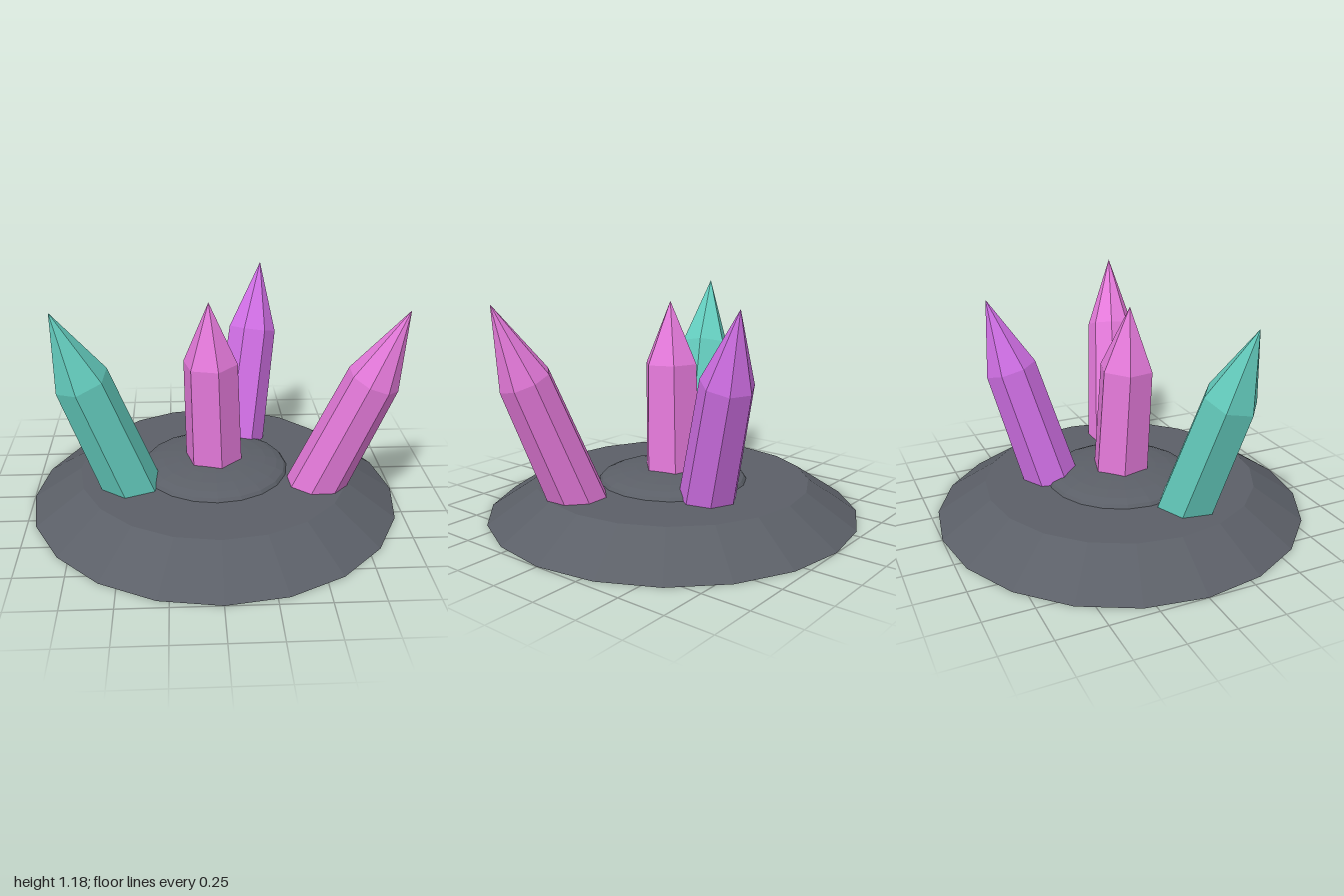
import * as THREE from 'three';

const material = (name, color) => {
  const m = new THREE.MeshStandardMaterial({ color });
  m.name = name;
  return m;
};

// Faceted solid of revolution from [radius, height] pairs, listed bottom to top
function faceted(name, profile, sides, mat, start = 0) {
  const points = profile.map(([r, y]) => new THREE.Vector2(r, y));
  const geometry = new THREE.LatheGeometry(points, sides, start).toNonIndexed();
  geometry.computeVertexNormals();
  const mesh = new THREE.Mesh(geometry, mat);
  mesh.name = name;
  return mesh;
}

// Pointed prism leaning from foot to tip; turn is the compass angle of one edge
function crystal({ name, mat, foot, tip, shoulder, sides, turn, rBottom, rTop }) {
  const a = new THREE.Vector3(...foot);
  const axis = new THREE.Vector3(...tip).sub(a);
  const length = axis.length();
  const shoulderHeight = length * (shoulder - a.y) / axis.y;
  const profile = [[0, 0], [rBottom, 0], [rTop, shoulderHeight], [0, length]];
  const start = Math.PI / 2 - THREE.MathUtils.degToRad(turn);
  const mesh = faceted(name, profile, sides, mat, start);
  mesh.position.copy(a);
  mesh.quaternion.setFromUnitVectors(new THREE.Vector3(0, 1, 0), axis.normalize());
  return mesh;
}

export function createModel() {
  const group = new THREE.Group();
  group.name = 'crystalCluster';

  const stone = material('grey stone', 0x5b5f67);
  const pink = material('pink crystal', 0xe57adb);
  const purple = material('purple crystal', 0xd06fe5);
  const teal = material('teal crystal', 0x65cfc0);

  // Rock plate with a sloping rim
  group.add(faceted('rockBase', [[0, 0], [1, 0], [0.735, 0.175], [0, 0.175]], 20, stone));

  // Low dome in the middle of the plate
  const dome = [];
  for (let i = 0; i <= 6; i++) {
    const t = (i / 6) * Math.PI / 2;
    dome.push([i === 6 ? 0 : 0.4 * Math.cos(t), 0.174 + 0.071 * Math.sin(t)]);
  }
  group.add(faceted('rockDome', dome, 20, stone));

  // Crystals
  const crystals = [
    { name: 'centreCrystal', mat: pink, foot: [0, 0.12, 0], tip: [-0.033, 1.13, 0.043],
      shoulder: 0.8, sides: 6, turn: 16, rBottom: 0.158, rTop: 0.146 },
    { name: 'leftCrystal', mat: pink, foot: [0.52, 0.12, 0.19], tip: [0.92, 1.17, 0.34],
      shoulder: 0.8, sides: 8, turn: 20, rBottom: 0.152, rTop: 0.134 },
    { name: 'backCrystal', mat: purple, foot: [0.147, 0.12, -0.335], tip: [0.292, 1.16, -0.62],
      shoulder: 0.795, sides: 7, turn: 114, rBottom: 0.15, rTop: 0.136 },
    { name: 'rightCrystal', mat: teal, foot: [-0.432, 0.12, 0.17], tip: [-0.79, 1.18, 0.328],
      shoulder: 0.81, sides: 6, turn: 158, rBottom: 0.156, rTop: 0.14 },
  ];
  for (const c of crystals) group.add(crystal(c));

  return group;
}
